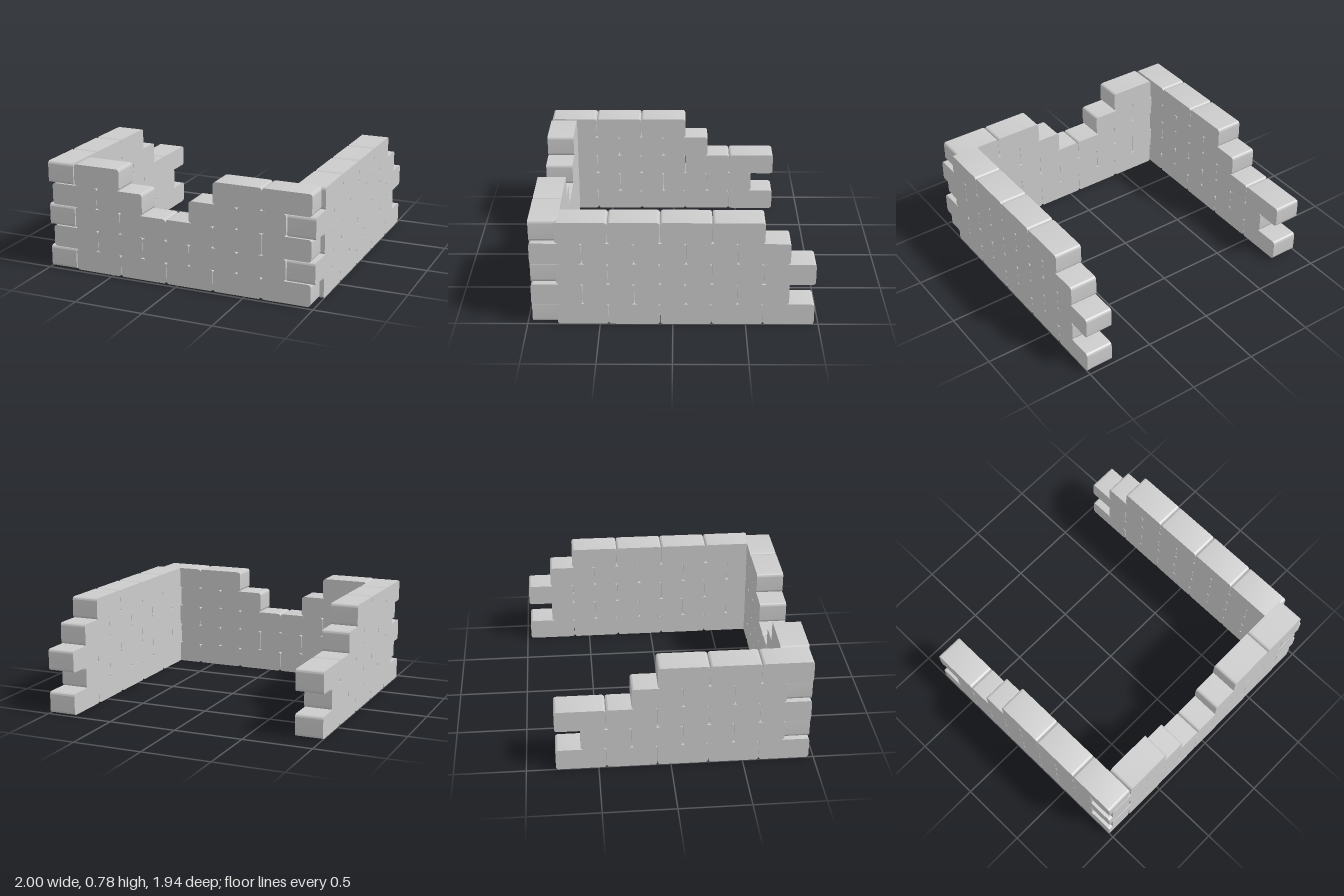
import * as THREE from 'three';
import { toCreasedNormals } from 'three/addons/utils/BufferGeometryUtils.js';

const PITCH = 0.3525;   // brick spacing along a wall
const LENGTH = 0.351;   // brick length
const HEIGHT = 0.156;   // course height
const DEPTH = 0.2;      // wall thickness
const RADIUS = 0.021;   // rounding of the long edges

// Rounded rectangle profile extruded through the wall, centred on the origin
function brickGeometry() {
  const w = LENGTH / 2, h = HEIGHT / 2, r = RADIUS;
  const s = new THREE.Shape();
  s.moveTo(-w + r, -h);
  s.lineTo(w - r, -h);
  s.absarc(w - r, -h + r, r, -Math.PI / 2, 0);
  s.lineTo(w, h - r);
  s.absarc(w - r, h - r, r, 0, Math.PI / 2);
  s.lineTo(-w + r, h);
  s.absarc(-w + r, h - r, r, Math.PI / 2, Math.PI);
  s.lineTo(-w, -h + r);
  s.absarc(-w + r, -h + r, r, Math.PI, Math.PI * 1.5);
  const g = new THREE.ExtrudeGeometry(s, { depth: DEPTH, bevelEnabled: false, curveSegments: 5 });
  g.translate(0, 0, -DEPTH / 2);
  return toCreasedNormals(g, 0.6);
}

export function createModel() {
  const model = new THREE.Group();
  model.name = 'ruinedBrickWalls';
  const material = new THREE.MeshStandardMaterial({ color: 0xcccccc });
  const geometry = brickGeometry();

  // Builds one wall; place(brick, distance) puts a brick at its distance along the wall
  function addWall(name, courses, place) {
    const wall = new THREE.Group();
    wall.name = name;
    courses.forEach((slots, row) => {
      for (const slot of slots) {
        const brick = new THREE.Mesh(geometry, material);
        brick.name = 'brick';
        brick.position.y = HEIGHT * (row + 0.5);
        place(brick, PITCH * (slot + 0.5), row % 2 === 0);
        wall.add(brick);
      }
    });
    model.add(wall);
  }
  const run = (n) => Array.from({ length: n }, (_, i) => i);

  // Front wall with a stepped breach in the middle
  addWall('frontWall', [run(5), run(5), run(5), [0, 1, 3, 4], [0, 3, 4]], (brick, d, even) => {
    brick.position.x = (even ? -0.792 : -0.97) + d;
    brick.position.z = 0.968 - DEPTH / 2;
  });

  // Side walls run backwards from the front corners, interlocking with the front wall
  addWall('leftWall', [5, 5, 5, 5, 4].map(run), (brick, d, even) => {
    brick.rotation.y = Math.PI / 2;
    brick.position.x = 1 - DEPTH / 2;
    brick.position.z = (even ? 0.792 : 0.968) - d;
  });
  addWall('rightWall', [5, 4, 5, 3, 3].map(run), (brick, d, even) => {
    brick.rotation.y = Math.PI / 2;
    brick.position.x = -1 + DEPTH / 2;
    brick.position.z = (even ? 0.966 : 0.788) - d;
  });

  return model;
}
